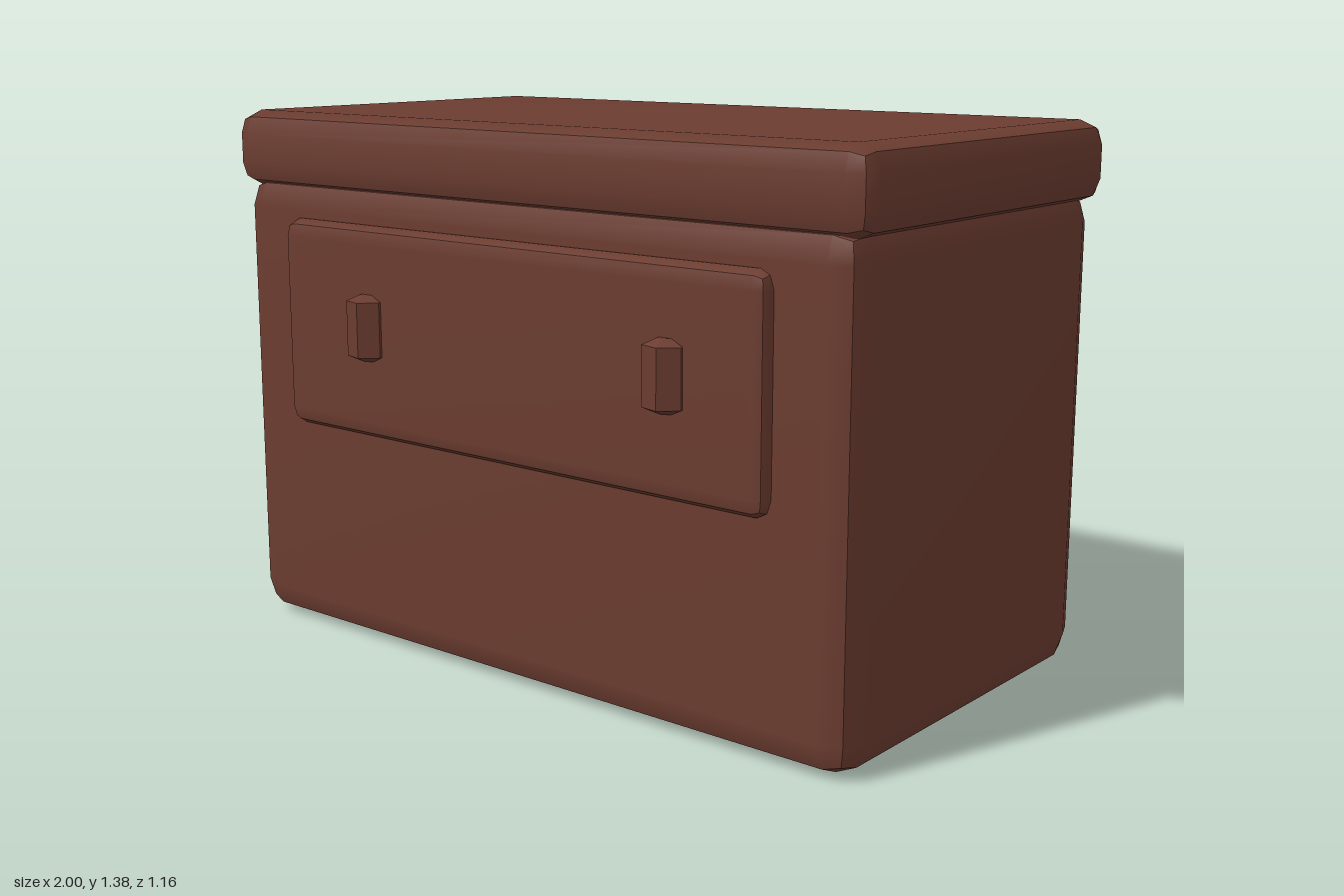
import * as THREE from 'three';

const brown = new THREE.MeshStandardMaterial({ color: 0x6b3c30 });
const brownFlat = new THREE.MeshStandardMaterial({ color: 0x6b3c30, flatShading: true });

// Box between two corners with a two-step bevel; the bevel width may differ per axis.
function bevelBox(name, min, max, bevel) {
  const lo = new THREE.Vector3(...min), hi = new THREE.Vector3(...max);
  const half = hi.clone().sub(lo).multiplyScalar(0.5);
  const radius = new THREE.Vector3(...bevel);
  const core = half.clone().sub(radius);
  const geometry = new THREE.BoxGeometry(2, 2, 2, 3, 3, 3);
  const pos = geometry.attributes.position;
  const p = new THREE.Vector3(), sign = new THREE.Vector3(), dir = new THREE.Vector3();
  for (let i = 0; i < pos.count; i++) {
    p.fromBufferAttribute(pos, i);
    sign.set(Math.sign(p.x), Math.sign(p.y), Math.sign(p.z));
    // Outer grid lines form the bevel, inner ones the flat face border
    dir.set(...p.toArray().map((v) => (Math.abs(v) > 0.9 ? Math.sign(v) : 0))).normalize();
    p.copy(core).multiply(sign).add(dir.multiply(radius));
    pos.setXYZ(i, p.x, p.y, p.z);
  }
  geometry.computeVertexNormals();
  const mesh = new THREE.Mesh(geometry, brown);
  mesh.name = name;
  mesh.position.copy(lo).add(hi).multiplyScalar(0.5);
  return mesh;
}

// Upright six-sided handle with sloped ends
function handle(name, x) {
  const profile = [[0, -0.085], [0.02, -0.085], [0.055, -0.07], [0.055, 0.07], [0.02, 0.085], [0, 0.085]]
    .map(([r, y]) => new THREE.Vector2(r, y));
  const mesh = new THREE.Mesh(new THREE.LatheGeometry(profile, 6, Math.PI / 12), brownFlat);
  mesh.name = name;
  mesh.position.set(x, 0.855, 0.528);
  return mesh;
}

export function createModel() {
  const group = new THREE.Group();
  group.name = 'cabinet';
  group.add(
    bevelBox('body', [-0.975, 0, -0.58], [0.975, 1.215, 0.5], [0.075, 0.085, 0.08]),
    bevelBox('lid', [-1, 1.18, -0.583], [1, 1.38, 0.5], [0.06, 0.06, 0.05]),
    bevelBox('drawerFront', [-0.772, 0.567, 0.44], [0.772, 1.11, 0.534], [0.035, 0.045, 0.03]),
    handle('rightHandle', -0.455),
    handle('leftHandle', 0.505),
  );
  return group;
}
